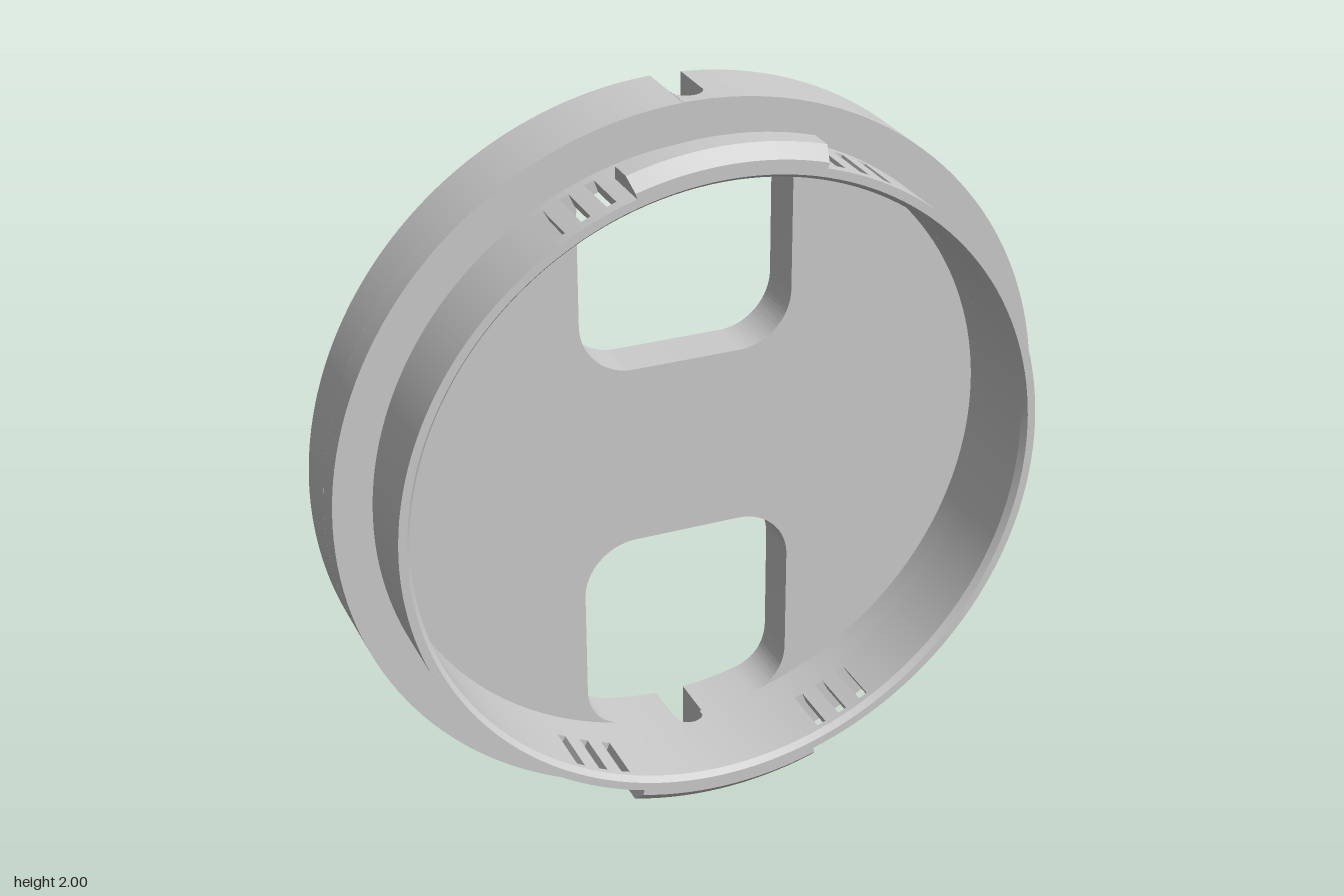
import * as THREE from 'three';
import { toCreasedNormals } from 'three/addons/utils/BufferGeometryUtils.js';

const BACK = -0.215, FLOOR = -0.08, FRONT = 0.215; // depths along z
const R = 1, BORE = 0.86, NECK = 0.895;            // radii
const NOTCH = 0.042;                               // half width of the rim notch

const material = new THREE.MeshStandardMaterial({ color: 0xcccccc });
const thinMaterial = new THREE.MeshStandardMaterial({ color: 0xcccccc, side: THREE.DoubleSide });

function add(group, name, geometry, mat = material) {
  const mesh = new THREE.Mesh(geometry, mat);
  mesh.name = name;
  group.add(mesh);
}

// Sweep a [radius, z] profile around the z axis; angle 0 points down
function sweep(profile, from, to) {
  const pts = profile.map(([r, z]) => new THREE.Vector2(r, z));
  const segments = Math.max(1, Math.ceil((to - from) / 0.04));
  const geo = new THREE.LatheGeometry(pts, segments, from, to - from);
  return toCreasedNormals(geo.rotateX(Math.PI / 2), 0.5);
}

// Flat [radius, z] outline standing on a radial plane
function radialFace(profile, angle) {
  const shape = new THREE.Shape(profile.map(([r, z]) => new THREE.Vector2(r, z)));
  const x = new THREE.Vector3(Math.sin(angle), -Math.cos(angle), 0);
  const y = new THREE.Vector3(0, 0, 1);
  const basis = new THREE.Matrix4().makeBasis(x, y, x.clone().cross(y));
  return new THREE.ShapeGeometry(shape).applyMatrix4(basis);
}

// Back plate: one quarter of the outline, mirrored, with windows open to the notches
function plate() {
  const quarter = new THREE.Path();
  quarter.absarc(0, 0, R, 0, Math.acos(NOTCH / R), false);
  quarter.absarc(0, 0, BORE, Math.acos(NOTCH / BORE), Math.acos(0.2 / BORE), true);
  quarter.quadraticCurveTo(0.3, 0.81, 0.3, 0.7);
  quarter.lineTo(0.3, 0.405);
  quarter.absarc(0.15, 0.405, 0.15, 0, -Math.PI / 2, true);
  quarter.lineTo(0, 0.255);
  const pts = quarter.getPoints(32);
  const flip = (sx, sy) => pts.map(p => new THREE.Vector2(p.x * sx, p.y * sy));
  const outline = [
    ...flip(1, 1), ...flip(-1, 1).reverse().slice(1),
    ...flip(-1, -1).slice(1), ...flip(1, -1).reverse().slice(1, -1),
  ];
  const geo = new THREE.ExtrudeGeometry(new THREE.Shape(outline),
    { depth: FLOOR - BACK, bevelEnabled: false });
  return toCreasedNormals(geo.translate(0, 0, BACK), 0.5);
}

// Bridge of rim material in front of a notch, with its rounded end
function notchBridge(topY) {
  const shape = new THREE.Shape();
  shape.moveTo(-NOTCH, FLOOR);
  shape.lineTo(-NOTCH, 0);
  shape.lineTo(NOTCH, 0);
  shape.lineTo(NOTCH, FLOOR);
  shape.absarc(0, FLOOR, NOTCH, 0, Math.PI, false);
  const geo = new THREE.ExtrudeGeometry(shape, { depth: R - BORE, bevelEnabled: false });
  return toCreasedNormals(geo.rotateX(Math.PI / 2).translate(0, topY, 0), 0.5);
}

// Front neck wall, pierced by four groups of three slots
function buildNeck() {
  const neck = new THREE.Group();
  neck.name = 'neck';
  const z0 = 0.03, z1 = 0.18, half = 0.015;
  const lip = [[NECK, FRONT], [0.872, FRONT], [BORE, FRONT - 0.018]];
  const full = [[NECK, 0], ...lip, [BORE, 0]];
  const lower = [[NECK, 0], [NECK, z0], [BORE, z0], [BORE, 0]];
  const upper = [[BORE, z1], [NECK, z1], ...lip, [BORE, z1]];
  const cheek = [[BORE, z0], [NECK, z0], [NECK, z1], [BORE, z1]];

  const offsets = [0.348, 0.428, 0.511];
  const slots = [];
  for (const a of offsets) slots.push(a, Math.PI - a, Math.PI + a, 2 * Math.PI - a);
  slots.sort((a, b) => a - b);
  slots.forEach((a, i) => {
    const next = i + 1 < slots.length ? slots[i + 1] : slots[0] + 2 * Math.PI;
    add(neck, 'slotLowerEdge', sweep(lower, a - half, a + half));
    add(neck, 'slotUpperEdge', sweep(upper, a - half, a + half));
    add(neck, 'neckWall', sweep(full, a + half, next - half));
    for (const s of [-half, half]) add(neck, 'slotCheek', radialFace(cheek, a + s), thinMaterial);
  });
  return neck;
}

// Raised snap ridge on the neck
function buildClip(center) {
  const clip = new THREE.Group();
  clip.name = 'snapClip';
  const half = 0.286;
  const profile = [[0.89, 0.065], [0.945, 0.11], [0.945, 0.178], [0.91, FRONT], [0.88, FRONT]];
  add(clip, 'clipRidge', sweep(profile, center - half, center + half));
  for (const s of [-half, half]) add(clip, 'clipEnd', radialFace(profile, center + s), thinMaterial);
  return clip;
}

export function createModel() {
  const model = new THREE.Group();
  model.name = 'cap';
  const body = new THREE.Group();
  body.name = 'capBody';
  body.position.y = 1;
  model.add(body);

  add(body, 'backPlate', plate());

  // Outer rim in two halves, joined by the notch bridges
  const rim = [[R, FLOOR], [R, 0], [BORE, 0], [BORE, FLOOR]];
  for (const start of [0, Math.PI]) {
    add(body, 'rimHalf', sweep(rim, start + NOTCH, start + Math.PI - NOTCH));
  }
  add(body, 'topNotchBridge', notchBridge(R));
  add(body, 'bottomNotchBridge', notchBridge(-BORE));

  body.add(buildNeck());
  body.add(buildClip(0), buildClip(Math.PI));
  return model;
}
